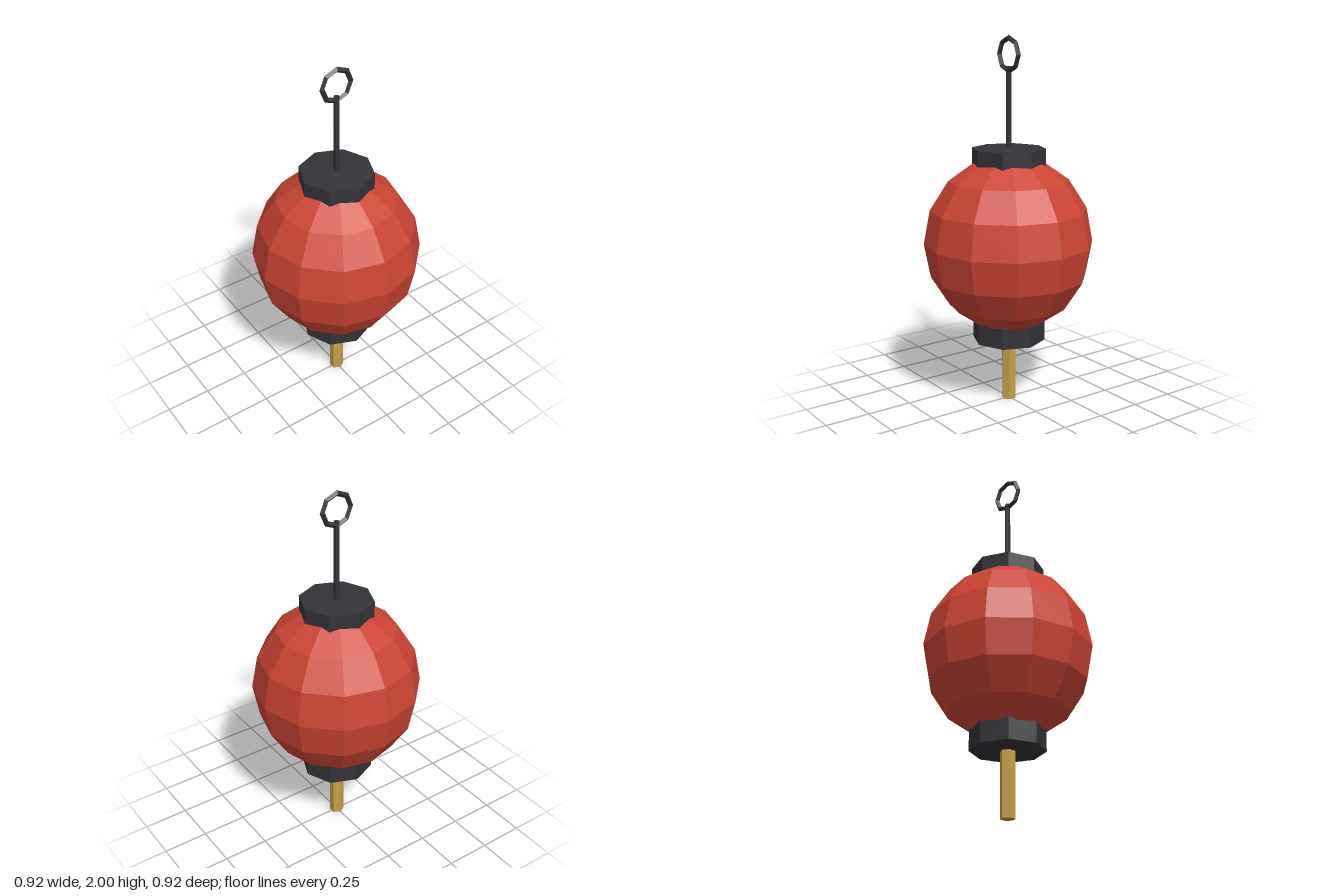
import * as THREE from 'three';

const material = (name, color) => {
  const m = new THREE.MeshStandardMaterial({ color, flatShading: true });
  m.name = name;
  return m;
};

export function createModel() {
  const red = material('red paper', 0xcc4433);
  const dark = material('dark metal', 0x333238);
  const gold = material('gold tassel', 0xc9a04a);

  const lantern = new THREE.Group();
  lantern.name = 'paperLantern';

  const add = (name, geometry, mat, y) => {
    const mesh = new THREE.Mesh(geometry, mat);
    mesh.name = name;
    mesh.position.y = y;
    lantern.add(mesh);
    return mesh;
  };

  // Upright prism between two heights
  const prism = (name, radius, bottom, top, sides, mat) =>
    add(name, new THREE.CylinderGeometry(radius, radius, top - bottom, sides), mat, (bottom + top) / 2);

  // Faceted paper shade, slightly taller than wide
  add('shade', new THREE.SphereGeometry(0.46, 12, 8), red, 0.895).scale.y = 1.05;

  // Octagonal end caps
  prism('topCap', 0.2, 1.32, 1.41, 8, dark);
  prism('bottomCap', 0.2, 0.35, 0.468, 8, dark);

  // Hanging rod and ring
  prism('hangingRod', 0.015, 1.4, 1.84, 6, dark);
  add('hangingRing', new THREE.TorusGeometry(0.085, 0.015, 4, 8), dark, 1.9);

  // Tassel below the bottom cap
  prism('tassel', 0.04, 0, 0.36, 6, gold);

  return lantern;
}
